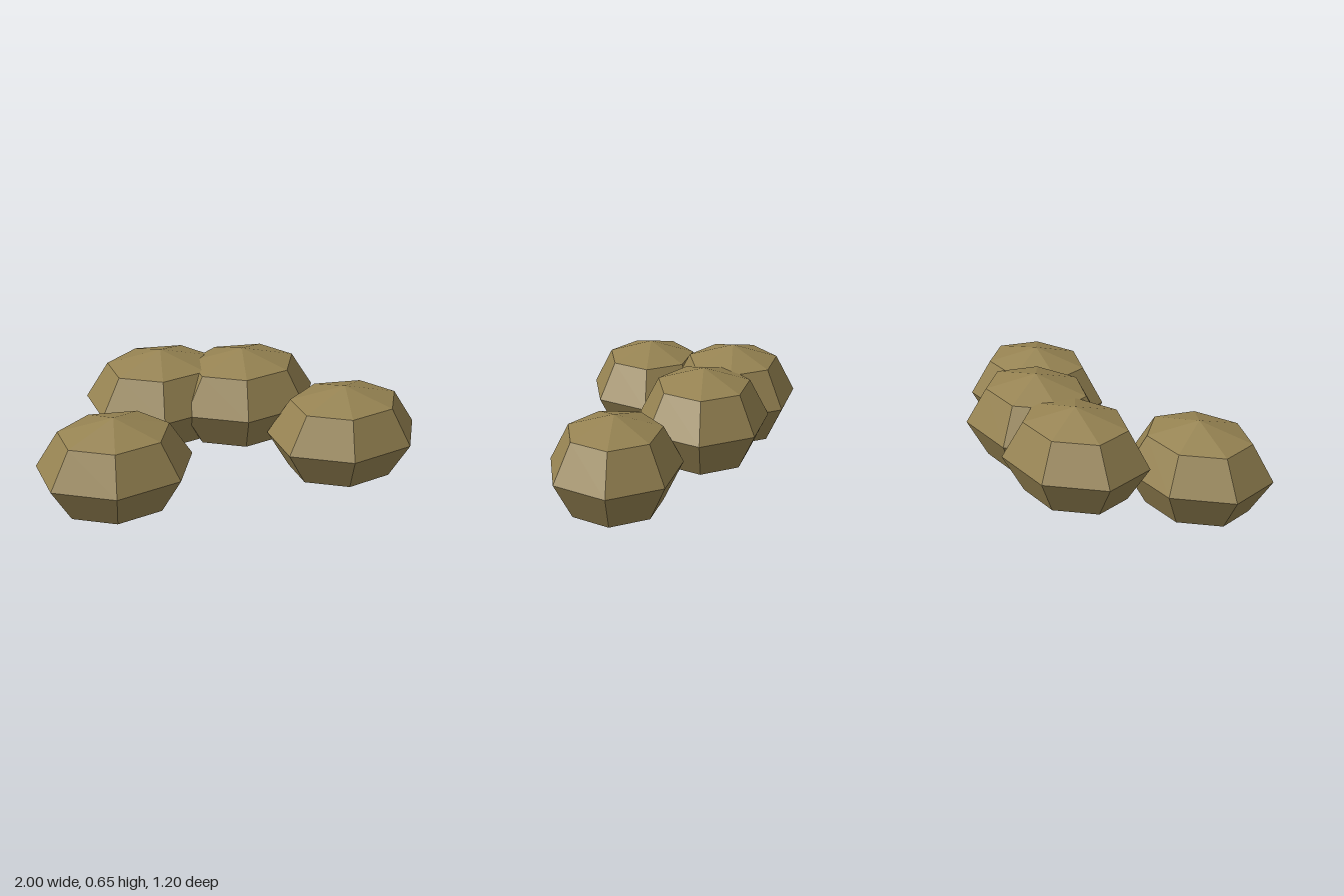
import * as THREE from 'three';

export function createModel() {
  const model = new THREE.Group();
  const olive = new THREE.MeshStandardMaterial({ color: 0x968352, flatShading: true });
  olive.name = 'olive brown';

  // Low-poly flattened clump: seven sides, one corner pointing to +x
  const clump = new THREE.SphereGeometry(1, 7, 4, Math.PI);
  clump.scale(0.409, 0.271, 0.338);

  // Two low clumps at the front, two raised ones behind
  const places = {
    frontRightClump: [-0.631, 0.271, 0.2],
    frontLeftClump: [0.591, 0.271, 0.272],
    backRightClump: [-0.227, 0.381, -0.272],
    backLeftClump: [0.181, 0.381, -0.137],
  };
  for (const [name, position] of Object.entries(places)) {
    const mesh = new THREE.Mesh(clump, olive);
    mesh.name = name;
    mesh.position.set(...position);
    model.add(mesh);
  }
  return model;
}
